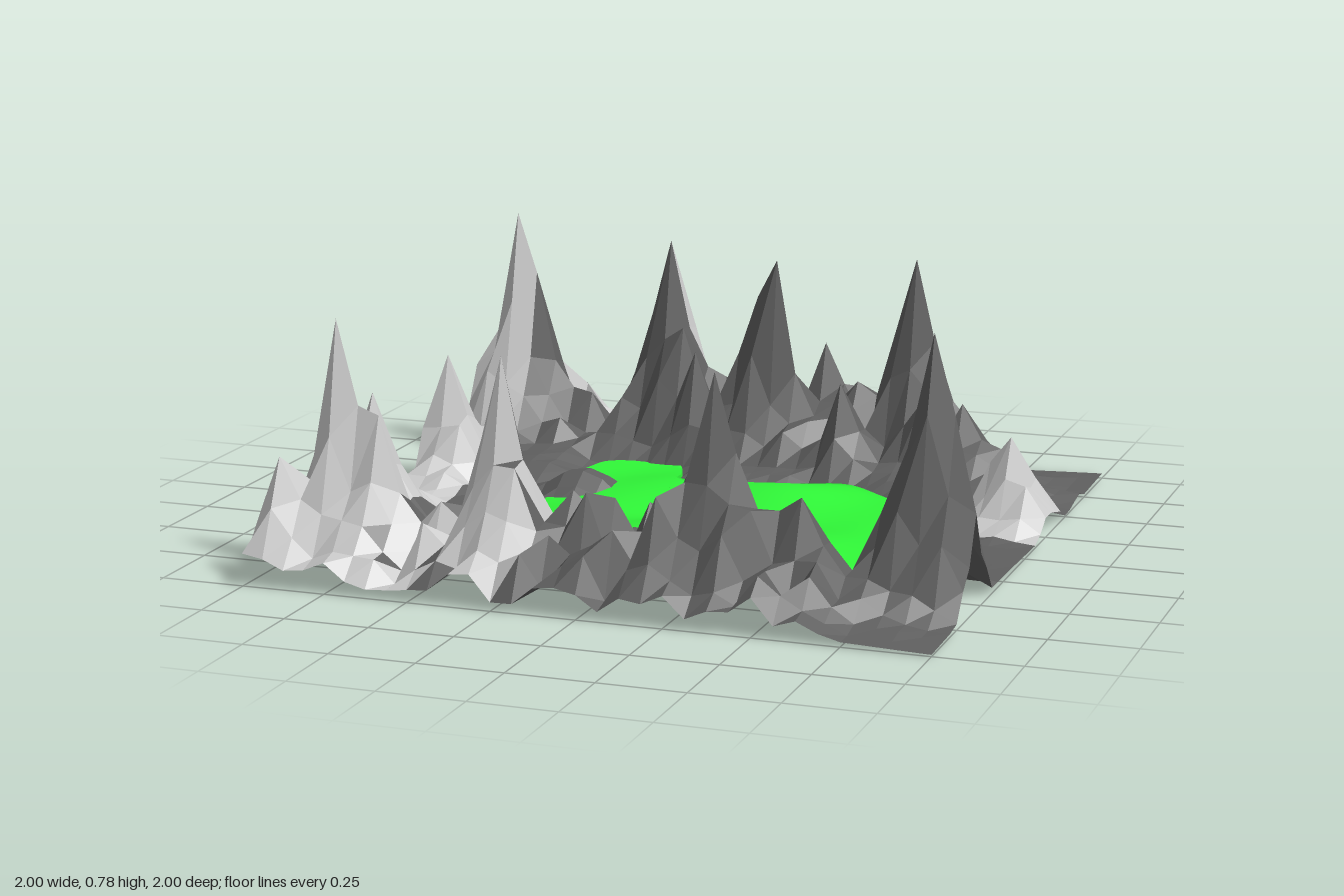
import * as THREE from 'three';

const STEPS = 32;
const CELL = 2 / STEPS;

// Mountain summits: x, z, height, foot radius
const PEAKS = [
  [-0.875, -0.75, 0.78, 0.3], [-0.8125, 0.75, 0.73, 0.25], [-0.375, -0.8125, 0.71, 0.29],
  [-0.3125, 0.75, 0.66, 0.28], [0, -0.75, 0.68, 0.17], [-0.0625, -0.75, 0.56, 0.24],
  [0.4375, -0.8125, 0.7, 0.23], [0.3125, 0.75, 0.66, 0.3], [0.875, 0.5625, 0.77, 0.26],
  [0.8125, 0.625, 0.42, 0.24], [-0.6875, 0.75, 0.46, 0.23], [-0.9375, -0.3125, 0.4, 0.23],
  [-0.9375, 0.25, 0.4, 0.23], [0.875, -0.3125, 0.28, 0.25], [0.125, -0.875, 0.4, 0.18],
  [0.5625, 0.75, 0.33, 0.24], [0.125, 0.75, 0.28, 0.24], [0.625, -0.6875, 0.28, 0.24],
  [-0.25, -0.6875, 0.38, 0.18], [-0.9375, 0.875, 0.35, 0.22], [0.25, -0.625, 0.33, 0.18],
  [0.1875, 0.875, 0.33, 0.2], [-1, -0.9375, 0.4, 0.24], [0.25, -0.9375, 0.25, 0.2],
];

// Lake shore: x, z
const SHORE = [
  [-0.52, -0.54], [-0.44, -0.58], [-0.28, -0.59], [-0.21, -0.45], [-0.18, -0.33], [-0.13, -0.29],
  [0, -0.37], [0.15, -0.44], [0.31, -0.47], [0.45, -0.38], [0.57, -0.26], [0.64, -0.12],
  [0.7, 0.02], [0.7, 0.3], [0.6, 0.45], [0.48, 0.5], [0.36, 0.47], [0.2, 0.54], [0, 0.6],
  [-0.1, 0.53], [-0.2, 0.47], [-0.35, 0.44], [-0.45, 0.3], [-0.52, 0.21], [-0.52, -0.15],
];
const MIDDLE = new THREE.Vector3(-0.12, 0, 0);
const AROUND = 120;
const shoreline = new THREE.CatmullRomCurve3(
  SHORE.map(([x, z]) => new THREE.Vector3(x, 0, z)), true, 'centripetal')
  .getPoints(AROUND).slice(0, AROUND);

// Islands standing in the lake: x, z, radius in x, radius in z
const ISLANDS = [[-0.45, -0.21, 0.16, 0.14], [-0.04, 0.38, 0.11, 0.16]];

const smooth = THREE.MathUtils.smoothstep;

function hash(i, j) {
  const s = Math.sin(i * 127.1 + j * 311.7) * 43758.5453;
  return s - Math.floor(s);
}

// Distance outside the shore, negative over the lake
function beyondShore(x, z) {
  const angle = Math.atan2(z - MIDDLE.z, x - MIDDLE.x);
  let best = shoreline[0], gap = Infinity;
  for (const p of shoreline) {
    const turn = 1 - Math.cos(Math.atan2(p.z - MIDDLE.z, p.x - MIDDLE.x) - angle);
    if (turn < gap) [best, gap] = [p, turn];
  }
  return Math.hypot(x - MIDDLE.x, z - MIDDLE.z) - best.distanceTo(MIDDLE);
}

function groundHeight(i, j) {
  const x = -1 + i * CELL, z = -1 + j * CELL;
  // Ring of broken rock around the flat basin, calm to the east and in the corners
  let rough = smooth(Math.max(-x * 0.72, Math.abs(z)), 0.54, 0.74);
  rough *= smooth(Math.hypot(x - 1, z + 1), 0.25, 0.55) * smooth(Math.hypot(x - 1, z - 1), 0.25, 0.5);
  rough *= 1 - 0.65 * smooth(Math.max(Math.abs(z), -x), 0.85, 1);
  rough *= 1 - 0.9 * Math.exp(-(((z + 0.03) / 0.1) ** 2));
  rough *= 1 - 0.5 * Math.exp(-(((x + 0.58) / 0.1) ** 2));
  // Banks rise gently north and south of the lake
  const bank = smooth(beyondShore(x, z), 0, 0.12) * smooth(Math.abs(z), 0.2, 0.42)
    * (1 - smooth(Math.max(Math.abs(x), Math.abs(z)), 0.7, 0.95));
  let y = 0.01 + 0.01 * Math.sin(5 * x + 2) * Math.sin(4 * z) + 0.05 * bank
    + rough * (0.04 + 0.23 * hash(i, j));
  for (const [px, pz, h, r] of PEAKS) {
    const d = Math.hypot(x - px, z - pz);
    const jitter = d > 0.01 ? 0.75 + 0.5 * hash(i + 50, j + 9) : 1;
    if (d < r) y = Math.max(y, h * (1 - d / r) ** 1.9 * jitter);
  }
  for (const [cx, cz, rx, rz] of ISLANDS) {
    const d = Math.hypot((x - cx) / rx, (z - cz) / rz);
    y = Math.max(y, 0.1 * (1 - d * d));
  }
  return Math.max(0, y);
}

// Pale stone lies along the west, the north-west edge and one eastern spur
function isPale(x, z, seed) {
  if (x < -0.68 && z > 0.45) return true;
  if (x < -0.8 && z < 0.35) return true;
  if (z < -0.8 && x < 0.05) return seed > 0.2;
  if (x > 0.74 && z > -0.5 && z < -0.12) return true;
  return x < -0.2 && z > 0.62 && seed > (z > 0.74 ? 0.15 : 0.6);
}

function flatMesh(name, positions, color) {
  const geometry = new THREE.BufferGeometry();
  geometry.setAttribute('position', new THREE.Float32BufferAttribute(positions, 3));
  geometry.computeVertexNormals();
  const mesh = new THREE.Mesh(geometry,
    new THREE.MeshStandardMaterial({ color, flatShading: true, side: THREE.DoubleSide }));
  mesh.name = name;
  return mesh;
}

// Ground grid, split by stone colour
function createGround() {
  const pale = [], dark = [], corners = [];
  for (let j = 0; j <= STEPS; j++) {
    for (let i = 0; i <= STEPS; i++) corners.push([-1 + i * CELL, groundHeight(i, j), -1 + j * CELL]);
  }
  const corner = (i, j) => corners[j * (STEPS + 1) + i];
  for (let j = 0; j < STEPS; j++) {
    for (let i = 0; i < STEPS; i++) {
      const a = corner(i, j), b = corner(i, j + 1), c = corner(i + 1, j + 1), d = corner(i + 1, j);
      [[a, b, d], [b, c, d]].forEach((t, k) => {
        const x = (t[0][0] + t[1][0] + t[2][0]) / 3, z = (t[0][2] + t[1][2] + t[2][2]) / 3;
        (isPale(x, z, hash(i * 2 + k, j + 77)) ? pale : dark).push(...t.flat());
      });
    }
  }
  const group = new THREE.Group();
  group.name = 'ground';
  group.add(flatMesh('darkRock', dark, 0x606060), flatMesh('paleRock', pale, 0xcccccc));
  return group;
}

// Point where a ray from the middle through p meets the rectangular rim of the sheet
function rimPoint(p) {
  const dx = p.x - MIDDLE.x, dz = p.z - MIDDLE.z;
  const reachX = ((dx > 0 ? 0.7 : -0.52) - MIDDLE.x) / dx;
  const reachZ = (dz > 0 ? 0.61 : -0.6) / dz;
  const reach = Math.max(1, Math.min(reachX, reachZ));
  return new THREE.Vector3(MIDDLE.x + dx * reach, 0, MIDDLE.z + dz * reach);
}

// Lake surface swells
function wave(x, z) {
  return 0.05 - 0.02 * Math.cos(12.5 * z) * (0.75 + 0.35 * Math.sin(7 * x + 1))
    + 0.012 * Math.cos(4 * (x - 0.15)) + 0.005 * Math.sin(14 * x + 6 * z);
}

// Wavy lake sheet: rings from the middle to the shore, then a rim running under the banks
function createLake() {
  const rings = 14;
  const positions = [], index = [];
  for (let r = 0; r <= rings; r++) {
    for (const p of shoreline) {
      const q = MIDDLE.clone().lerp(p, r / rings);
      positions.push(q.x, wave(q.x, q.z), q.z);
    }
  }
  for (const reach of [0.02, 1]) {
    for (const p of shoreline) {
      const rim = rimPoint(p);
      const hidden = rim.distanceTo(p) > 0.06 && Math.abs(p.z) > 0.2;
      const q = hidden ? p.clone().lerp(rim, reach) : p;
      positions.push(q.x, hidden ? 0.008 : wave(q.x, q.z), q.z);
    }
  }
  for (let r = 0; r < rings + 2; r++) {
    for (let k = 0; k < AROUND; k++) {
      const n = (k + 1) % AROUND;
      const a = r * AROUND + k, b = r * AROUND + n;
      const c = b + AROUND, d = a + AROUND;
      index.push(a, c, d);
      if (r > 0) index.push(a, b, c);
    }
  }
  const geometry = new THREE.BufferGeometry();
  geometry.setAttribute('position', new THREE.Float32BufferAttribute(positions, 3));
  geometry.setIndex(index);
  geometry.computeVertexNormals();
  const lake = new THREE.Mesh(geometry,
    new THREE.MeshStandardMaterial({ color: 0x30f838, side: THREE.DoubleSide }));
  lake.name = 'lake';
  return lake;
}

export function createModel() {
  const model = new THREE.Group();
  model.name = 'mountainBasin';
  model.add(createGround(), createLake());
  return model;
}
